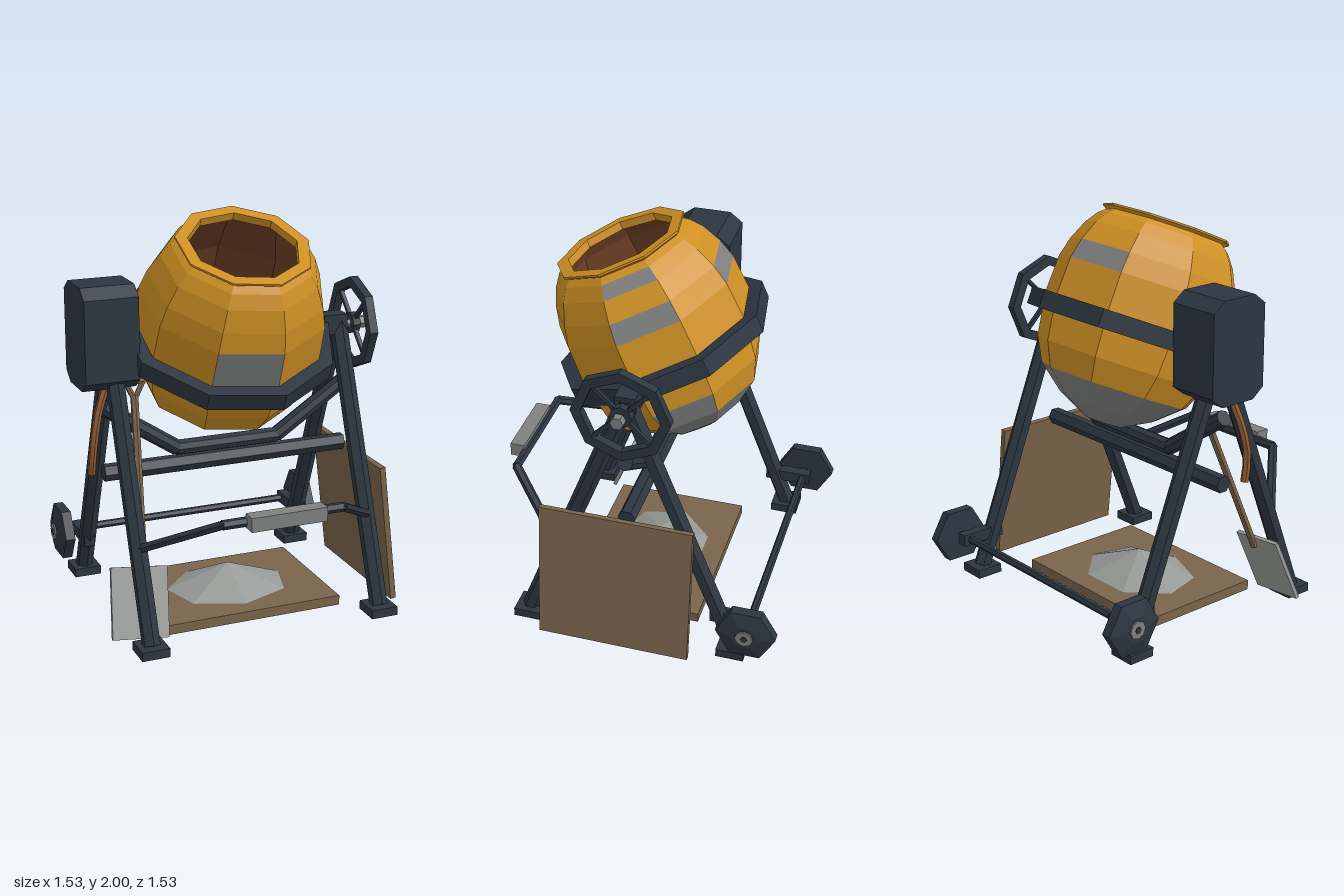
import * as THREE from 'three';

const mat = (name, color, side = THREE.FrontSide) => {
  const m = new THREE.MeshStandardMaterial({ color, side });
  m.name = name;
  return m;
};
const V = (x, y, z) => new THREE.Vector3(x, y, z);

// one normal per face, for the low-poly look
const flat = (geo) => {
  const g = geo.index ? geo.toNonIndexed() : geo;
  g.computeVertexNormals();
  return g;
};

export function createModel() {
  const steel = mat('dark steel', 0x2c3640);
  const yellow = mat('yellow paint', 0xcf9024);
  const grey = mat('worn grey metal', 0x7f8180);
  const cement = mat('cement', 0x969a97);
  const wood = mat('wood', 0x7a644b);
  const rust = mat('rust', 0x6e3f24);
  const copper = mat('copper hose', 0x8c5a32);

  const model = new THREE.Group();
  model.name = 'cementMixer';

  const add = (name, geo, material, pos = [0, 0, 0], parent = model) => {
    const m = new THREE.Mesh(flat(geo), material);
    m.name = name;
    m.position.set(...pos);
    parent.add(m);
    return m;
  };
  const box = (name, size, pos, material, parent) =>
    add(name, new THREE.BoxGeometry(...size), material, pos, parent);
  // straight bar between two points
  const bar = (name, a, b, r, material, sides = 6, parent = model) => {
    const d = b.clone().sub(a);
    const m = add(name, new THREE.CylinderGeometry(r, r, d.length(), sides), material, [0, 0, 0], parent);
    m.position.copy(a).add(b).multiplyScalar(0.5);
    m.quaternion.setFromUnitVectors(V(0, 1, 0), d.normalize());
    return m;
  };
  // bent bar through several points
  const bentBar = (name, pts, r, sides) => {
    const path = new THREE.CurvePath();
    for (let i = 1; i < pts.length; i++) path.add(new THREE.LineCurve3(pts[i - 1], pts[i]));
    const g = new THREE.Group();
    g.name = name;
    model.add(g);
    path.curves.forEach((c) => bar(name + 'Section', c.v1, c.v2, r, steel, sides, g));
    pts.slice(1, -1).forEach((p) => add(name + 'Joint', new THREE.IcosahedronGeometry(r, 0), steel, p.toArray(), g));
  };
  const lathe = (profile) =>
    new THREE.LatheGeometry(profile.map(([s, r]) => new THREE.Vector2(r, s)), 9, Math.PI / 2);

  // tilted drum assembly, axis along local y
  const drum = new THREE.Group();
  drum.name = 'drum';
  drum.position.set(0, 1.37, 0);
  drum.rotation.x = THREE.MathUtils.degToRad(24);
  model.add(drum);

  // drum shell with worn panels: rows 0-2 are the grey base
  const shell = [[-0.485, 0], [-0.485, 0.1], [-0.41, 0.25], [-0.3, 0.385], [-0.18, 0.445], [0.04, 0.475],
    [0.23, 0.465], [0.33, 0.437], [0.43, 0.39], [0.49, 0.345], [0.53, 0.295]];
  const rows = shell.length - 1;
  const worn = ['0,3', '0,6', '0,8', '2,6', '6,5'];
  const shellGeo = lathe(shell);
  for (let i = 0; i < 9; i++) {
    for (let j = 0; j < rows; j++) {
      shellGeo.addGroup((i * rows + j) * 6, 6, j < 3 || worn.includes(`${i},${j}`) ? 1 : 0);
    }
  }
  add('drumShell', shellGeo, [yellow, grey], [0, 0, 0], drum);

  // inside of the drum, facing inwards
  add('upperLining', lathe([[0.53, 0.274], [0.43, 0.36], [0.23, 0.435], [0.04, 0.445]]), rust, [0, 0, 0], drum);
  add('cementLining', lathe([[0.04, 0.445], [-0.34, 0.29]]), cement, [0, 0, 0], drum);
  add('drumFloor', lathe([[-0.34, 0.29], [-0.42, 0]]), rust, [0, 0, 0], drum);
  add('rim', lathe([[0.5, 0.285], [0.53, 0.333], [0.54, 0.333], [0.54, 0.272], [0.5, 0.272]]), yellow, [0, 0, 0], drum);
  add('drumRing', lathe([[-0.045, 0.45], [-0.045, 0.545], [0.045, 0.545], [0.045, 0.45]]), steel, [0, 0, 0], drum);

  // pivots
  box('rightPivotBlock', [0.13, 0.1, 0.1], [0.575, 1.38, 0], steel);
  bar('leftPivot', V(-0.62, 1.37, 0), V(-0.47, 1.37, 0), 0.07, steel, 8);

  // motor housing with cut corners
  const hz = 0.16, hy = 0.252, cz = 0.065, cy = 0.05;
  const outline = [[-hz, -hy + cy], [-hz + cz, -hy], [hz - cz, -hy], [hz, -hy + cy],
    [hz, hy - cy], [hz - cz, hy], [-hz + cz, hy], [-hz, hy - cy]];
  const housing = new THREE.ExtrudeGeometry(
    new THREE.Shape(outline.map(([x, y]) => new THREE.Vector2(x, y))), { depth: 0.27, bevelEnabled: false });
  housing.rotateY(Math.PI / 2);
  add('motorHousing', housing, steel, [-0.77, 1.437, -0.03]);

  // hose under the housing
  const hosePath = new THREE.CatmullRomCurve3(
    [V(-0.64, 1.2, 0.03), V(-0.695, 1.06, 0.06), V(-0.728, 0.9, 0.08), V(-0.735, 0.765, 0.06)]);
  add('hose', new THREE.TubeGeometry(hosePath, 6, 0.02, 6), copper);

  // A-frame legs, feet, axle brackets and wheels
  for (const side of [-1, 1]) {
    const x = side * 0.607;
    for (const z of [-0.53, 0.53]) {
      bar('leg', V(x, 1.4, 0), V(x, 0.04, z), 0.045, steel);
      box('foot', [0.14, 0.045, 0.14], [x, 0.0225, z], steel);
    }
    box('axleBracket', [0.054, 0.06, 0.24], [x, 0.215, -0.535], steel);
    const wheel = new THREE.Group();
    wheel.name = 'wheel';
    wheel.position.set(side * 0.705, 0.215, -0.615);
    wheel.rotation.z = -side * Math.PI / 2;
    model.add(wheel);
    const tyre = new THREE.LatheGeometry([[0, -0.04], [0.15, -0.035], [0.15, 0.015], [0.07, 0.037], [0, 0.037]]
      .map(([r, y]) => new THREE.Vector2(r, y)), 6);
    add('tyre', tyre, steel, [0, 0, 0], wheel);
    add('hub', new THREE.CylinderGeometry(0.045, 0.045, 0.008, 8), grey, [0, 0.04, 0], wheel);
    add('axleEnd', new THREE.CylinderGeometry(0.018, 0.018, 0.012, 6), steel, [0, 0.042, 0], wheel);
  }
  bar('axle', V(-0.72, 0.215, -0.615), V(0.72, 0.215, -0.615), 0.02, steel);

  // cross braces and front handle
  bar('crossbar', V(-0.655, 0.74, 0), V(0.645, 0.74, 0), 0.044, steel);
  bentBar('cradleBrace', [V(-0.65, 1.075, 0), V(-0.27, 0.822, 0), V(0.27, 0.822, 0), V(0.65, 1.075, 0)], 0.04, 8);
  bentBar('handleBar', [V(-0.6, 0.48, 0.385), V(-0.31, 0.667, 0.69), V(0.31, 0.667, 0.69), V(0.6, 0.48, 0.385)], 0.024, 6);
  box('handleGrip', [0.385, 0.07, 0.075], [0, 0.675, 0.73], grey);

  // tilting handwheel on the +x side
  const hand = new THREE.Group();
  hand.name = 'handwheel';
  hand.position.set(0.693, 1.37, 0);
  hand.rotation.z = -Math.PI / 2;
  model.add(hand);
  const rimProfile = [[0.19, -0.022], [0.24, -0.022], [0.24, 0.022], [0.19, 0.022], [0.19, -0.022]];
  add('handwheelRim', new THREE.LatheGeometry(rimProfile.map(([r, y]) => new THREE.Vector2(r, y)), 8), steel, [0, 0, 0], hand);
  for (let i = 0; i < 4; i++) {
    const a = Math.PI / 4 + i * Math.PI / 2;
    bar('spoke', V(0, 0, 0), V(Math.cos(a) * 0.21, 0, Math.sin(a) * 0.21), 0.014, steel, 4, hand);
  }
  add('handwheelHub', new THREE.CylinderGeometry(0.055, 0.055, 0.04, 8), steel, [0, 0, 0], hand);
  add('handwheelShaft', new THREE.CylinderGeometry(0.022, 0.022, 0.13, 6), grey, [0, -0.015, 0], hand);
  add('handwheelNut', new THREE.CylinderGeometry(0.033, 0.033, 0.04, 6), grey, [0, 0.052, 0], hand);

  // mixing board with heap of cement
  box('mixingBoard', [0.925, 0.05, 0.69], [0, 0.025, 0.033], wood);
  const heap = add('cementHeap', new THREE.ConeGeometry(0.32, 0.125, 7), cement, [-0.01, 0.112, 0.03]);
  heap.scale.z = 0.8;

  // board leaning on the +x legs
  const board = box('leaningBoard', [0.03, 0.725, 0.77], [0.7, 0.37, 0.05], wood);
  board.rotation.z = 0.118;

  // shovel leaning on the -x legs
  const shovel = new THREE.Group();
  shovel.name = 'shovel';
  shovel.position.set(-0.606, 0.195, 0.37);
  shovel.rotation.set(-0.37, 0, -0.11);
  model.add(shovel);
  box('shovelBlade', [0.285, 0.345, 0.02], [0, 0, 0], cement, shovel);
  bar('shovelHandle', V(0.03, 0.12, -0.015), V(0.01, 1.0, -0.015), 0.02, wood, 6, shovel);
  for (const side of [-1, 1]) {
    bar('shovelFork', V(0.01, 0.98, -0.015), V(0.01 + side * 0.045, 1.07, -0.015), 0.014, wood, 6, shovel);
  }
  bar('shovelGrip', V(-0.045, 1.07, -0.015), V(0.065, 1.07, -0.015), 0.015, wood, 6, shovel);

  return model;
}
